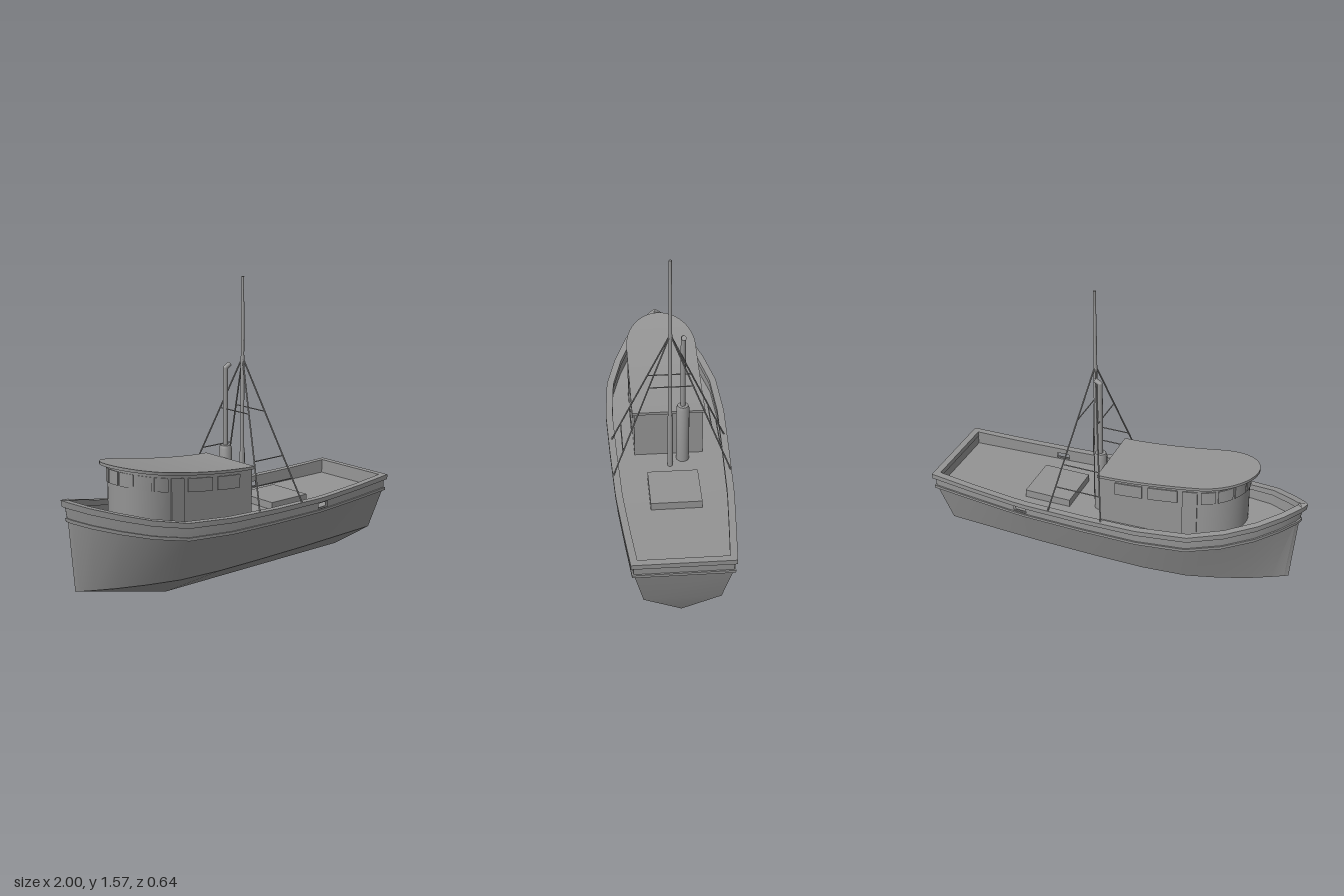
import * as THREE from 'three';
import { toCreasedNormals } from 'three/addons/utils/BufferGeometryUtils.js';

const mat = new THREE.MeshStandardMaterial({ color: 0x949494, side: THREE.DoubleSide });
const V = (x, y, z) => new THREE.Vector3(x, y, z);

// Hull stations, bow to stern:
// rail x, rail half-width, rail y, bulwark depth, chine x, chine half-width, keel x, keel y
const STATIONS = [
  [-1.00, 0.000, 0.600, 0.100, -0.93, 0.000, -0.93, 0.130],
  [-0.98, 0.030, 0.591, 0.100, -0.91, 0.012, -0.91, 0.126],
  [-0.91, 0.097, 0.564, 0.098, -0.85, 0.045, -0.85, 0.112],
  [-0.80, 0.181, 0.530, 0.095, -0.75, 0.095, -0.75, 0.088],
  [-0.65, 0.250, 0.487, 0.090, -0.61, 0.150, -0.61, 0.056],
  [-0.47, 0.303, 0.450, 0.085, -0.44, 0.200, -0.37, 0.000],
  [-0.20, 0.320, 0.428, 0.080, -0.20, 0.222, -0.20, 0.000],
  [0.10, 0.312, 0.414, 0.075, 0.08, 0.222, 0.08, 0.000],
  [0.43, 0.300, 0.407, 0.073, 0.38, 0.216, 0.36, 0.000],
  [0.50, 0.296, 0.408, 0.073, 0.45, 0.213, 0.42, 0.000],
  [0.75, 0.275, 0.415, 0.075, 0.68, 0.202, 0.64, 0.000],
  [1.00, 0.252, 0.427, 0.080, 0.92, 0.190, 0.86, 0.000],
];
const N = STATIONS.length;
const PORT_SEGMENT = 8; // freeing port between stations 8 and 9

// Skin between rows of points; "around" joins each row's end to its start
function loft(rows, { around = false, closed = false, skip = [] } = {}) {
  const w = rows[0].length, idx = [];
  const last = closed ? rows.length : rows.length - 1;
  for (let r = 0; r < last; r++) {
    for (let i = 0; i < (around ? w : w - 1); i++) {
      if (skip.includes(i)) continue;
      const j = (i + 1) % w, a = r * w, b = ((r + 1) % rows.length) * w;
      idx.push(a + i, b + i, a + j, a + j, b + i, b + j);
    }
  }
  const g = new THREE.BufferGeometry().setFromPoints(rows.flat());
  g.setIndex(idx);
  return toCreasedNormals(g, 0.5);
}

// Full loop: left side bow to stern, then right side stern to bow
function bothSides(fn) {
  const left = STATIONS.map(fn);
  const right = left.slice(1).reverse().map(p => V(p.x, p.y, -p.z));
  return [...left, ...right];
}

const railLine = bothSides(s => V(s[0], s[2], s[1]));
const depths = bothSides(s => V(s[3], 0, 0)).map(p => p.x);

// Rail outline moved inwards, and lowered by a fraction of the bulwark depth with a slight rake
function outline(inset, drop) {
  const n = railLine.length;
  const normal = (a, b) => new THREE.Vector2(b.z - a.z, a.x - b.x).normalize();
  return railLine.map((p, i) => {
    const n1 = normal(railLine[(i + n - 1) % n], p), n2 = normal(p, railLine[(i + 1) % n]);
    const k = inset / (1 + n1.dot(n2));
    const rake = p.x < 0 ? 0.018 : 0.004;
    return V(p.x * (1 - rake * drop) + (n1.x + n2.x) * k, p.y - depths[i] * drop, p.z + (n1.y + n2.y) * k);
  });
}

// Cabin plan: s runs -1..1 from one rear corner round the bow end to the other
const roofY = x => 0.622 + 0.111 * Math.pow(Math.max(0, 0.06 - x) / 0.8, 1.6);
function cabinPoint(s, nose, half, rear, y) {
  let x, z;
  if (Math.abs(s) <= 0.5) {
    x = -0.48 - nose * Math.cos(s * Math.PI);
    z = half * Math.sin(s * Math.PI);
  } else {
    x = -0.48 + (Math.abs(s) - 0.5) * 2 * (rear + 0.48);
    z = Math.sign(s) * half;
  }
  return V(x, y(x), z);
}
const cabinLoop = (nose, half, rear, y) =>
  Array.from({ length: 49 }, (_, i) => cabinPoint(i / 24 - 1, nose, half, rear, y));

export function createModel() {
  const model = new THREE.Group();
  const add = (name, geometry, parent = model) => {
    const mesh = new THREE.Mesh(geometry, mat);
    mesh.name = name;
    parent.add(mesh);
    return mesh;
  };
  const group = name => {
    const g = new THREE.Group();
    g.name = name;
    model.add(g);
    return g;
  };
  const rod = (name, a, b, r, parent, sides = 8) => {
    const m = add(name, new THREE.CylinderGeometry(r, r, a.distanceTo(b), sides), parent);
    m.position.copy(a).lerp(b, 0.5);
    m.quaternion.setFromUnitVectors(V(0, 1, 0), b.clone().sub(a).normalize());
  };

  // Hull with chine, keel and transom
  add('hull', loft([
    outline(0.016, 1),
    bothSides(s => V(s[4], 0.13, s[5])),
    bothSides(s => V(s[6], s[7], 0)),
  ], { around: true }));

  // Deck
  const deckLeft = outline(0.025, 0.95).slice(0, N);
  add('deck', loft([deckLeft, deckLeft.map(p => V(p.x, p.y, -p.z))]));

  // Bulwark skins with a freeing port on each side
  const skip = [PORT_SEGMENT, 2 * N - 2 - PORT_SEGMENT];
  const bulwark = group('bulwark');
  for (const inset of [0.014, 0.03]) {
    add('bulwarkTop', loft([outline(inset, 0.3), outline(inset, 0.45)], { around: true }), bulwark);
    add('bulwarkMiddle', loft([outline(inset, 0.45), outline(inset, 0.85)], { around: true, skip }), bulwark);
    add('bulwarkFoot', loft([outline(inset, 0.85), outline(inset, 1.05)], { around: true }), bulwark);
  }

  // Rail cap and rubbing strake
  const band = (inner, outer, top, bottom) => loft([
    outline(outer, top), outline(outer, bottom), outline(inner, bottom), outline(inner, top),
  ], { around: true, closed: true });
  add('railCap', band(0.036, 0, 0, 0.33));
  add('rubbingStrake', band(0.022, 0.006, 0.91, 1.1));

  // Cabin walls
  const cabin = group('cabin');
  const wall = [0.21, 0.18, 0.05];
  add('cabinWalls', loft([
    cabinLoop(...wall, x => roofY(x) - 0.005), cabinLoop(...wall, () => 0.345),
  ], { around: true }), cabin);

  // Cabin roof: top, edge and underside
  const roof = [0.26, 0.19, 0.06];
  const upper = cabinLoop(...roof, roofY), lower = cabinLoop(...roof, x => roofY(x) - 0.015);
  add('roofEdge', loft([upper, lower], { around: true }), cabin);
  for (const [name, loop] of [['roofTop', upper], ['roofUnderside', lower]]) {
    const half = loop.slice(0, 25);
    add(name, loft([half, half.map(p => V(p.x, p.y, -p.z))]), cabin);
  }

  // Window and door panels with closed edges, standing slightly proud of the walls
  const panel = (name, s0, s1, top, bottom) => {
    const row = (out, y) => [0, 0, 1, 2, 3, 4, 4].map((k, i) => {
      const o = i === 0 || i === 6 ? 0 : out;
      return cabinPoint(s0 + (s1 - s0) * k / 4, 0.21 + o, 0.18 + o, 0.05, y);
    });
    add(name, loft([row(0, top), row(0.006, top), row(0.006, bottom), row(0, bottom)]), cabin);
  };
  const winTop = x => roofY(x) - 0.03, winFoot = x => roofY(x) - 0.1;
  panel('frontWindow', -0.06, 0.06, winTop, winFoot);
  for (const m of [-1, 1]) {
    for (const [a, b] of [[0.08, 0.2], [0.22, 0.34], [0.36, 0.47], [0.6, 0.75], [0.78, 0.92]]) {
      panel('sideWindow', m * a, m * b, winTop, winFoot);
    }
    panel('sideDoor', m * 0.5, m * 0.575, x => roofY(x) - 0.03, () => 0.36);
  }

  // Deck hatch
  add('hatch', new THREE.BoxGeometry(0.255, 0.06, 0.26)).position.set(0.372, 0.35, -0.005);

  // Mast
  const mastProfile = [[0.014, 0.33], [0.014, 0.64], [0.010, 0.68], [0.010, 1.15],
    [0.009, 1.16], [0.009, 1.43], [0.0075, 1.44], [0.0075, 1.565], [0, 1.565]];
  add('mast', toCreasedNormals(new THREE.LatheGeometry(
    mastProfile.map(p => new THREE.Vector2(...p)), 12), 0.6)).position.set(0.145, 0, 0);

  // Rigging: four stays with cross bars
  const rigging = group('rigging');
  const stayPoint = (sx, sz, y) => {
    const t = (1.15 - y) / 0.74;
    return V(0.145 + sx * 0.148 * t, y, sz * 0.3 * t);
  };
  for (const s of [-1, 1]) {
    for (const sx of [-1, 1]) rod('stay', stayPoint(sx, s, 1.15), stayPoint(sx, s, 0.41), 0.004, rigging);
    for (const y of [0.65, 0.535]) rod('sideBar', stayPoint(-1, s, y), stayPoint(1, s, y), 0.003, rigging);
    rod('crossBar', stayPoint(s, -1, 0.875), stayPoint(s, 1, 0.875), 0.003, rigging);
  }

  // Exhaust: casing, pipe and bent outlet
  const exhaust = group('exhaust');
  const casing = [[0.034, 0.33], [0.034, 0.665], [0.028, 0.682], [0, 0.685]];
  add('exhaustCasing', toCreasedNormals(new THREE.LatheGeometry(
    casing.map(p => new THREE.Vector2(...p)), 16), 0.6), exhaust).position.set(0.09, 0, -0.07);
  const bend = V(0.09, 1.092, -0.07);
  rod('exhaustPipe', V(0.09, 0.67, -0.07), bend, 0.013, exhaust, 12);
  add('exhaustElbow', new THREE.SphereGeometry(0.013, 12, 8), exhaust).position.copy(bend);
  rod('exhaustOutlet', bend, V(0.118, 1.108, -0.07), 0.013, exhaust, 12);

  return model;
}
